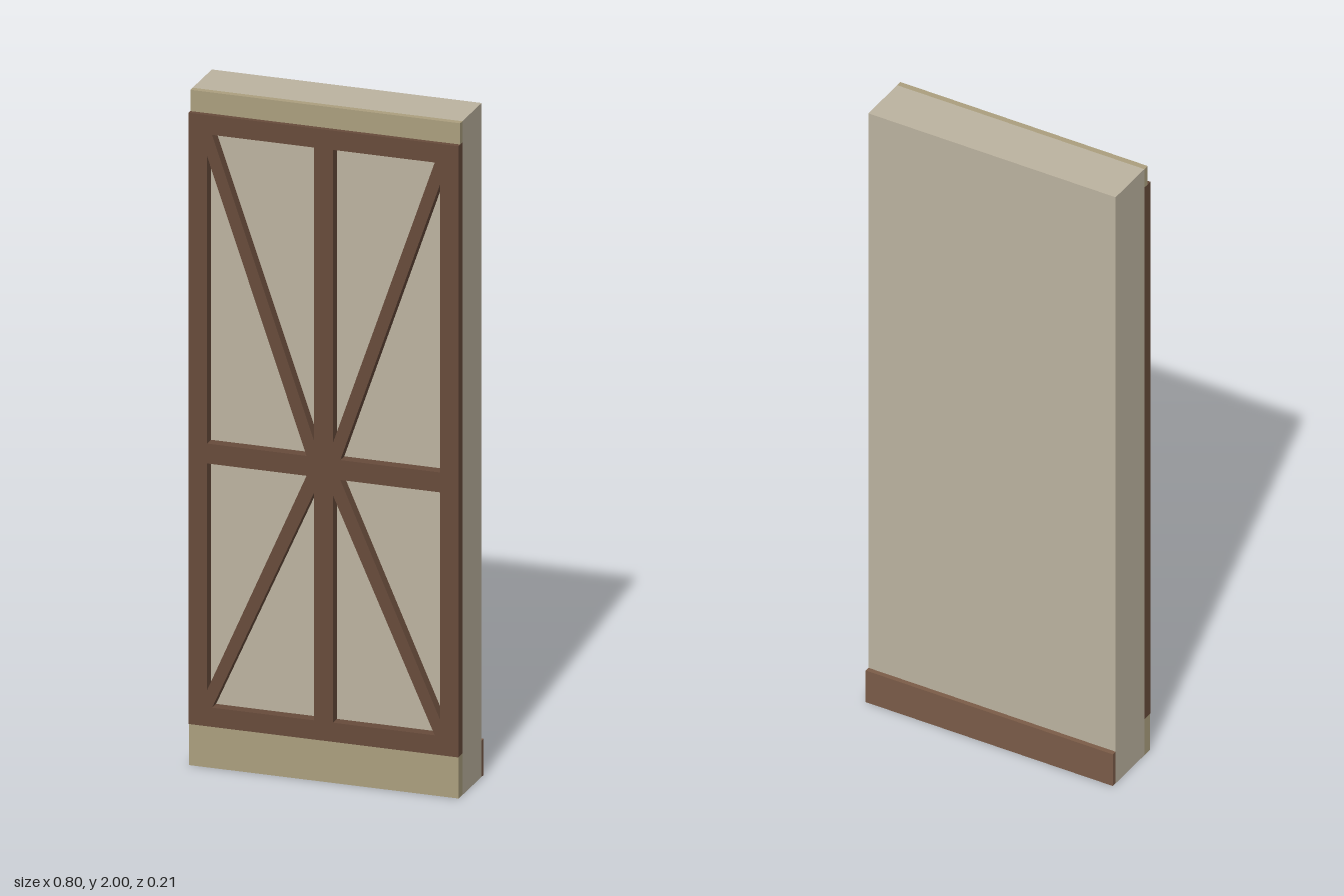
import * as THREE from 'three';

const plaster = new THREE.MeshStandardMaterial({ color: 0xbcb3a0 });
const trim = new THREE.MeshStandardMaterial({ color: 0xab9f7e });
const timber = new THREE.MeshStandardMaterial({ color: 0x674b3b });
const skirtingWood = new THREE.MeshStandardMaterial({ color: 0x7b5c48 });

// Full-width slab given by its y and z limits
function slab(name, material, y0, y1, z0, z1) {
  const mesh = new THREE.Mesh(new THREE.BoxGeometry(0.8, y1 - y0, z1 - z0), material);
  mesh.position.set(0, (y0 + y1) / 2, (z0 + z1) / 2);
  mesh.name = name;
  return mesh;
}

// Timber frame: a plate with triangular openings that leave stiles, rails and braces
function timberFrame(y0, y1, z0, z1) {
  const shape = new THREE.Shape([[-0.4, y0], [0.4, y0], [0.4, y1], [-0.4, y1]]
    .map(([x, y]) => new THREE.Vector2(x, y)));
  const openings = [
    [[0.345, 1.815], [0.05, 0.962], [0.345, 0.962]],
    [[0.33, 1.88], [0.028, 1.88], [0.028, 1.01]],
    [[0.345, 0.23], [0.05, 0.903], [0.345, 0.903]],
    [[0.33, 0.18], [0.028, 0.18], [0.028, 0.855]],
  ];
  for (const side of [-1, 1]) {
    for (const corners of openings) {
      shape.holes.push(new THREE.Path(corners.map(([x, y]) => new THREE.Vector2(side * x, y))));
    }
  }
  const geometry = new THREE.ExtrudeGeometry(shape, { depth: z1 - z0, bevelEnabled: false });
  const mesh = new THREE.Mesh(geometry, timber);
  mesh.position.z = z0;
  mesh.name = 'timberFrame';
  return mesh;
}

export function createModel() {
  const group = new THREE.Group();
  group.name = 'timberFramedWall';
  group.add(
    slab('wallPanel', plaster, 0, 2, -0.088, 0.07),
    slab('topBand', trim, 1.937, 2, 0.07, 0.088),
    slab('baseBand', trim, 0, 0.123, 0.07, 0.1),
    slab('backSkirting', skirtingWood, 0, 0.108, -0.103, -0.088),
    timberFrame(0.123, 1.937, 0.07, 0.103),
  );
  return group;
}
